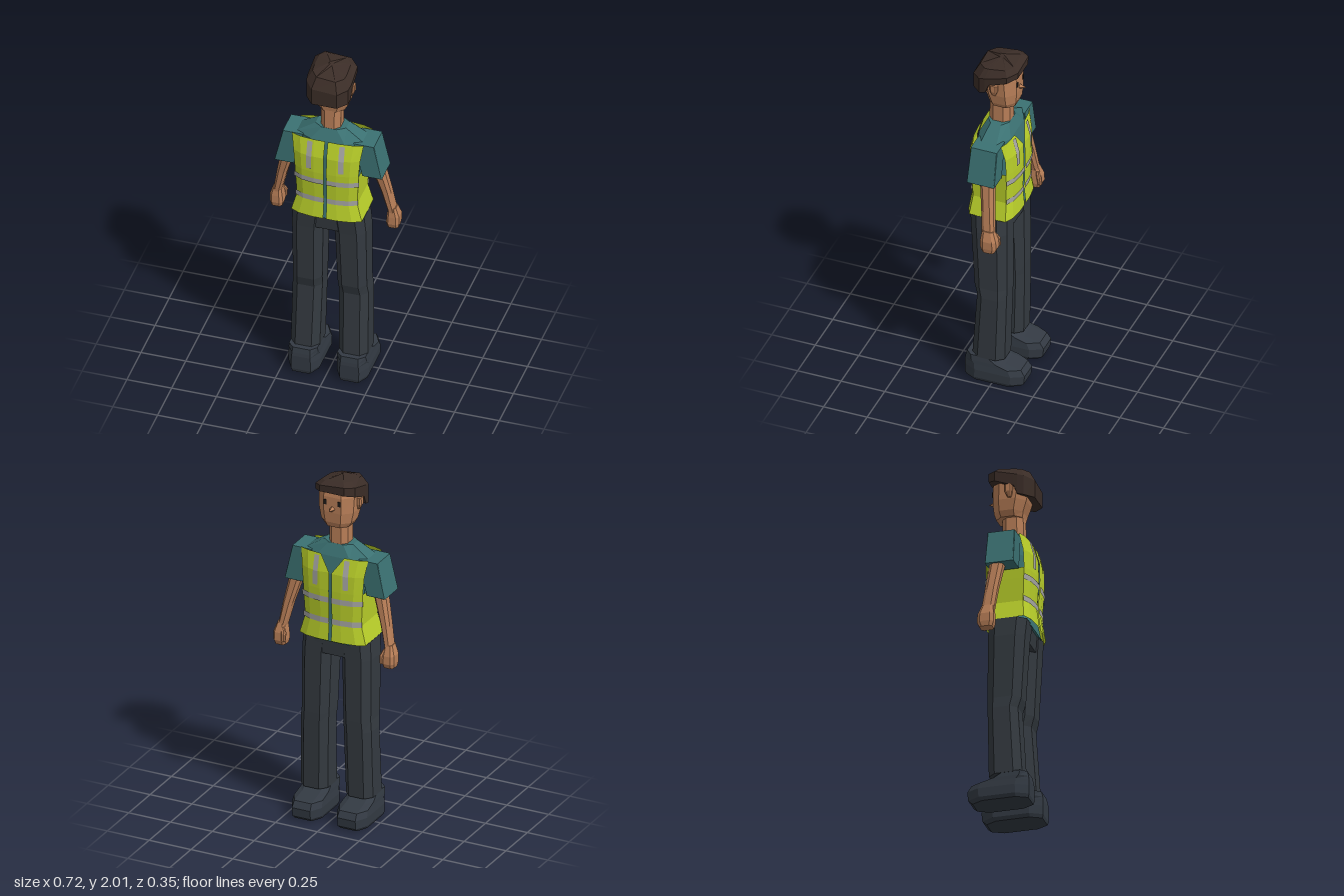
import * as THREE from 'three';

const mat = (name, color, side = THREE.FrontSide) => {
  const m = new THREE.MeshStandardMaterial({ color, flatShading: true, side });
  m.name = name;
  return m;
};

// Skin of quads over rows of [x, y, z] points; rows rise, points run from +z round by +x
function skin(rows, { closed = false, skip = () => false, flip = false } = {}) {
  const src = flip ? rows.map(r => r.map(([x, y, z]) => [-x, y, z]).reverse()) : rows;
  const v = [], n = src[0].length, segs = closed ? n : n - 1;
  for (let r = 0; r < src.length - 1; r++) for (let i = 0; i < segs; i++) {
    if (skip(r, flip ? segs - 1 - i : i)) continue;
    const k = (i + 1) % n, a = src[r][i], b = src[r][k], c = src[r + 1][k], d = src[r + 1][i];
    v.push(...a, ...b, ...c, ...a, ...c, ...d);
  }
  if (closed) {
    for (const [row, top] of [[src[0], false], [src[src.length - 1], true]]) {
      const mid = [0, 1, 2].map(j => row.reduce((s, p) => s + p[j], 0) / n);
      for (let i = 0; i < n; i++) {
        const a = row[i], b = row[(i + 1) % n];
        v.push(...mid, ...(top ? a : b), ...(top ? b : a));
      }
    }
  }
  const g = new THREE.BufferGeometry();
  g.setAttribute('position', new THREE.Float32BufferAttribute(v, 3));
  g.computeVertexNormals();
  return g;
}

// Octagonal cross-section with chamfered corners
function oct([y, x0, x1, z0, z1], c) {
  const cx = (x1 - x0) * c, cz = (z1 - z0) * c;
  return [[x0 + cx, y, z1], [x1 - cx, y, z1], [x1, y, z1 - cz], [x1, y, z0 + cz],
    [x1 - cx, y, z0], [x0 + cx, y, z0], [x0, y, z0 + cz], [x0, y, z1 - cz]];
}
const loft = (sections, c, flip) => skin(sections.map(s => oct(s, c)), { closed: true, flip });

// Vest size by height: y, half width, front z, back z
const vestSizes = [[1.065, 0.197, -0.105, 0.172], [1.17, 0.168, -0.095, 0.158], [1.3, 0.175, -0.1, 0.165],
  [1.36, 0.178, -0.101, 0.168], [1.46, 0.186, -0.098, 0.165], [1.555, 0.2, -0.072, 0.138]];
function vestSize(y) {
  let i = 0;
  while (i < vestSizes.length - 2 && vestSizes[i + 1][0] < y) i++;
  const a = vestSizes[i], b = vestSizes[i + 1], t = (y - a[0]) / (b[0] - a[0]);
  return a.map((p, k) => p + (b[k] - p) * t);
}
// Half outline of the vest, from centre back round the side to centre front
function vestRow(y, off = 0) {
  const [, hx, zf, zb] = vestSize(y), c = (zf + zb) / 2, h = (zb - zf) / 2 + off;
  const half = [[0.008, 1], [hx * 0.35, 1], [hx * 0.75, 0.92], [hx + off, 0.75]];
  return [...half.map(([x, f]) => [x, y, c + h * f]), ...half.reverse().map(([x, f]) => [x, y, c - h * f])];
}

export function createModel() {
  const model = new THREE.Group();
  const mats = {
    skin: mat('skin', 0xb97f58), hair: mat('dark brown hair', 0x3b2d27),
    shirt: mat('teal shirt', 0x3b7172), vest: mat('lime vest', 0xbad02a, THREE.DoubleSide),
    tape: mat('grey tape', 0xa6a6a4, THREE.DoubleSide), trousers: mat('charcoal trousers', 0x343a40),
    shoe: mat('dark shoe', 0x333a43), eye: mat('black eye', 0x1c1918),
  };
  const add = (name, geo, m) => {
    const mesh = new THREE.Mesh(geo, mats[m]);
    mesh.name = name;
    model.add(mesh);
    return mesh;
  };

  // Shirt body and hips
  add('shirtBody', loft([[1.052, -0.19, 0.19, -0.085, 0.15], [1.17, -0.155, 0.155, -0.07, 0.13],
    [1.33, -0.163, 0.163, -0.08, 0.14], [1.45, -0.178, 0.178, -0.08, 0.14],
    [1.545, -0.19, 0.19, -0.06, 0.122], [1.61, -0.085, 0.085, -0.03, 0.09]], 0.25), 'shirt');
  add('hips', loft([[0.965, -0.185, 0.185, -0.065, 0.13], [1.065, -0.185, 0.185, -0.068, 0.14]], 0.2), 'trousers');

  // Neck and head
  add('neck', loft([[1.58, -0.055, 0.055, -0.03, 0.09], [1.75, -0.055, 0.055, -0.028, 0.085]], 0.25), 'skin');
  add('head', loft([[1.72, -0.072, 0.072, -0.06, 0.085], [1.75, -0.09, 0.09, -0.07, 0.09],
    [1.81, -0.102, 0.102, -0.075, 0.11], [1.9, -0.106, 0.106, -0.075, 0.13],
    [1.95, -0.09, 0.09, -0.065, 0.11]], 0.25), 'skin');
  const nose = new THREE.ConeGeometry(0.02, 0.045, 4);
  nose.rotateX(-Math.PI / 2);
  add('nose', nose, 'skin').position.set(0, 1.832, -0.09);

  // Hair: a cap whose rim drops low at the nape
  const rim = [[-0.075, 0.165, 1.81], [0.065, 0.165, 1.81], [0.113, 0.115, 1.815], [0.118, 0.08, 1.825],
    [0.118, 0.06, 1.875], [0.115, -0.045, 1.915], [0.068, -0.09, 1.93],
    [-0.078, -0.09, 1.93], [-0.12, -0.045, 1.915], [-0.122, 0.06, 1.875], [-0.122, 0.08, 1.825], [-0.118, 0.115, 1.815]];
  const ring = (s, y, tilt) => rim.map(([x, z]) => [-0.005 + (x + 0.005) * s, y - tilt * (z - 0.03) - 0.08 * x, 0.03 + (z - 0.03) * s]);
  add('hair', skin([rim.map(([x, z, y]) => [x, y, z]), ring(1.01, 1.94, 0.27), ring(0.76, 1.978, 0.1),
    ring(0.08, 1.999, 0)], { closed: true }), 'hair');

  for (const s of [1, -1]) {
    const side = s > 0 ? 'left' : 'right', flip = s < 0;
    const pair = (name, sections, c, m) => add(side + name, loft(sections, c, flip), m);

    // Face details
    pair('Ear', [[1.815, 0.095, 0.112, 0.022, 0.042], [1.845, 0.095, 0.126, 0.01, 0.05],
      [1.885, 0.095, 0.126, 0.008, 0.052]], 0.2, 'skin');
    add(side + 'Eye', new THREE.BoxGeometry(0.016, 0.028, 0.006), 'eye').position.set(s * 0.042, 1.868, -0.076);

    // Arm
    pair('Sleeve', [[1.35, 0.19, 0.3, -0.047, 0.11], [1.55, 0.14, 0.254, -0.045, 0.105]], 0.02, 'shirt');
    pair('Arm', [[1.05, 0.3, 0.343, -0.06, 0.01], [1.2, 0.262, 0.318, -0.045, 0.025],
      [1.36, 0.212, 0.286, -0.03, 0.047]], 0.25, 'skin');
    pair('Hand', [[0.957, 0.293, 0.355, -0.065, 0.005], [0.985, 0.288, 0.36, -0.078, 0.014],
      [1.03, 0.292, 0.36, -0.075, 0.014], [1.085, 0.3, 0.342, -0.055, 0.008]], 0.2, 'skin');
    pair('Thumb', [[0.985, 0.284, 0.305, -0.082, -0.06], [1.03, 0.282, 0.308, -0.08, -0.052],
      [1.06, 0.295, 0.312, -0.065, -0.045]], 0.25, 'skin');

    // Leg and shoe
    pair('Leg', [[0.15, 0.054, 0.215, -0.06, 0.125], [0.54, 0.046, 0.211, -0.068, 0.1],
      [0.6, 0.043, 0.206, -0.07, 0.117], [0.96, 0.033, 0.206, -0.068, 0.137],
      [1.065, 0.02, 0.198, -0.066, 0.146]], 0.22, 'trousers');
    pair('Shoe', [[0, 0.055, 0.215, -0.15, 0.16], [0.02, 0.046, 0.224, -0.172, 0.165],
      [0.07, 0.045, 0.225, -0.177, 0.165], [0.105, 0.05, 0.22, -0.155, 0.165],
      [0.125, 0.052, 0.218, -0.065, 0.162], [0.155, 0.056, 0.213, -0.005, 0.155]], 0.2, 'shoe');

    // Vest half: sides open above the armpit, notched at the throat
    const rows = vestSizes.map(v => vestRow(v[0]));
    rows[rows.length - 1][7] = [0.008, 1.465, -0.098];
    add(side + 'Vest', skin(rows, { flip, skip: (r, i) => r >= 3 && i === 3 }), 'vest');

    // Reflective tape, two bands and one brace on each face
    for (const y of [1.165, 1.29]) {
      add(side + 'TapeBand', skin([vestRow(y, 0.006), vestRow(y + 0.032, 0.006)],
        { flip, skip: (r, i) => i === 3 }), 'tape');
    }
    for (const back of [true, false]) {
      const brace = [1.38, 1.46, 1.545].map(y => {
        const row = vestRow(y, 0.006), [a, b] = back ? [row[1], row[2]] : [row[6], row[5]];
        const at = x => [x, y, a[2] + (b[2] - a[2]) * (x - a[0]) / (b[0] - a[0])];
        return back ? [at(0.075), at(0.105)] : [at(0.105), at(0.075)];
      });
      add(side + (back ? 'Back' : 'Front') + 'Brace', skin(brace, { flip }), 'tape');
    }
  }
  return model;
}
